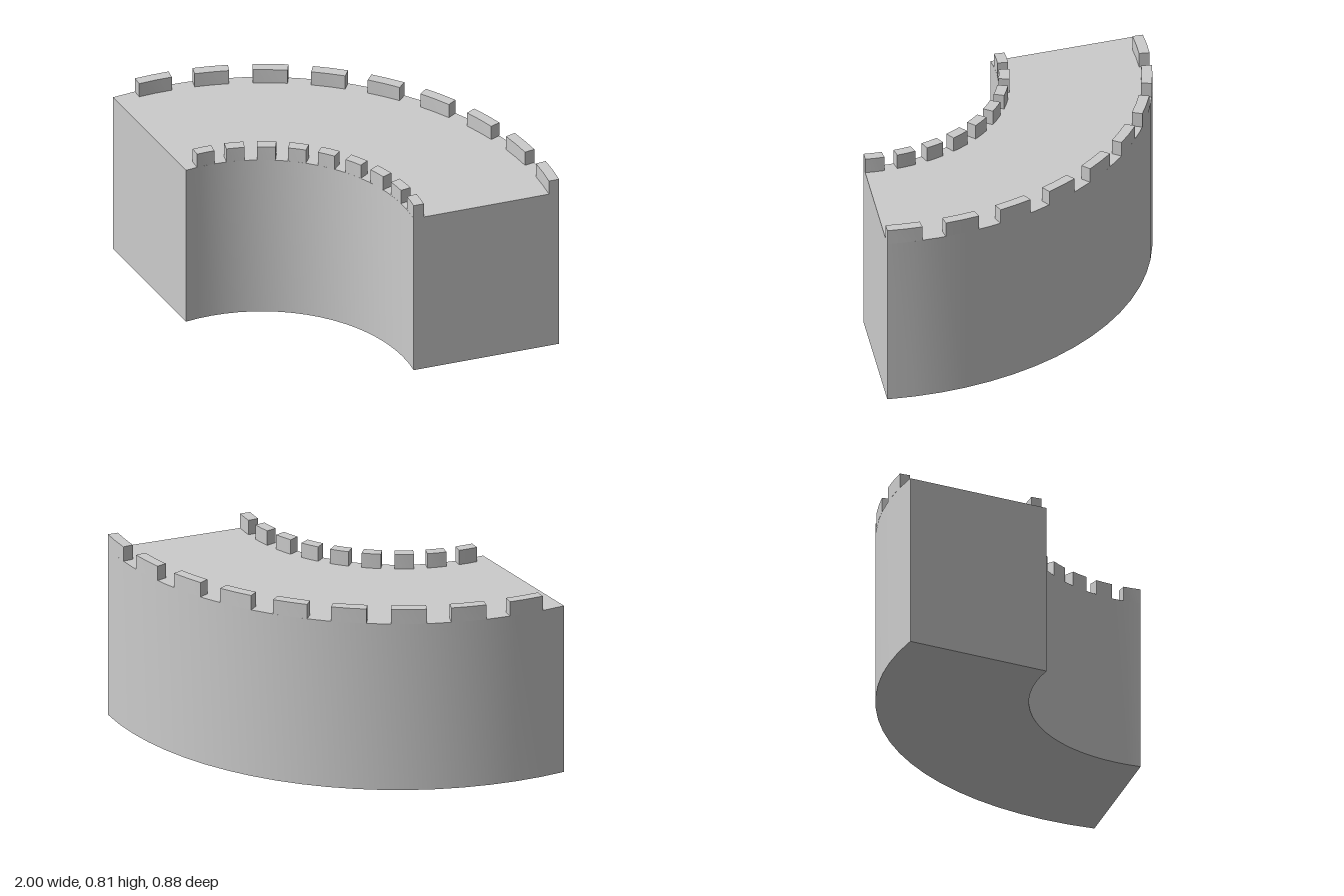
import * as THREE from 'three';
import { toCreasedNormals } from 'three/addons/utils/BufferGeometryUtils.js';

const CENTER_Z = 0.867;     // axis of the curved wall
const R_IN = 0.667, R_OUT = 1.307;
const HALF_ANGLE = 49.9;    // degrees either side of the middle
const WALL_H = 0.75, MERLON_H = 0.065, MERLON_T = 0.045;

const material = new THREE.MeshStandardMaterial({ color: 0xcccccc });

// Ring sector between two radii; angles in degrees from the back (-z) towards +x
function sector(name, rIn, rOut, from, to, y, height, curveSegments) {
  const a = THREE.MathUtils.degToRad(90 - from);
  const b = THREE.MathUtils.degToRad(90 - to);
  const shape = new THREE.Shape();
  shape.absarc(0, -CENTER_Z, rOut, b, a, false);
  shape.absarc(0, -CENTER_Z, rIn, a, b, true);
  shape.closePath();
  const geometry = new THREE.ExtrudeGeometry(shape, { depth: height, bevelEnabled: false, curveSegments });
  geometry.rotateX(-Math.PI / 2);
  geometry.translate(0, y, 0);
  const mesh = new THREE.Mesh(toCreasedNormals(geometry, 0.5), material);
  mesh.name = name;
  return mesh;
}

// Row of merlons evenly spaced along the wall
function battlement(name, rIn, rOut) {
  const row = new THREE.Group();
  row.name = name;
  const count = 9, pitch = 11.09, width = 6.6;
  for (let i = 0; i < count; i++) {
    const end = HALF_ANGLE - (count - 1 - i) * pitch;
    row.add(sector('merlon', rIn, rOut, end - width, end, WALL_H, MERLON_H, 1));
  }
  return row;
}

export function createModel() {
  const group = new THREE.Group();
  group.name = 'curvedCastleWall';
  group.add(sector('wall', R_IN, R_OUT, -HALF_ANGLE, HALF_ANGLE, 0, WALL_H, 10));
  group.add(battlement('outerBattlement', R_OUT - MERLON_T, R_OUT));
  group.add(battlement('innerBattlement', R_IN, R_IN + MERLON_T));
  return group;
}
